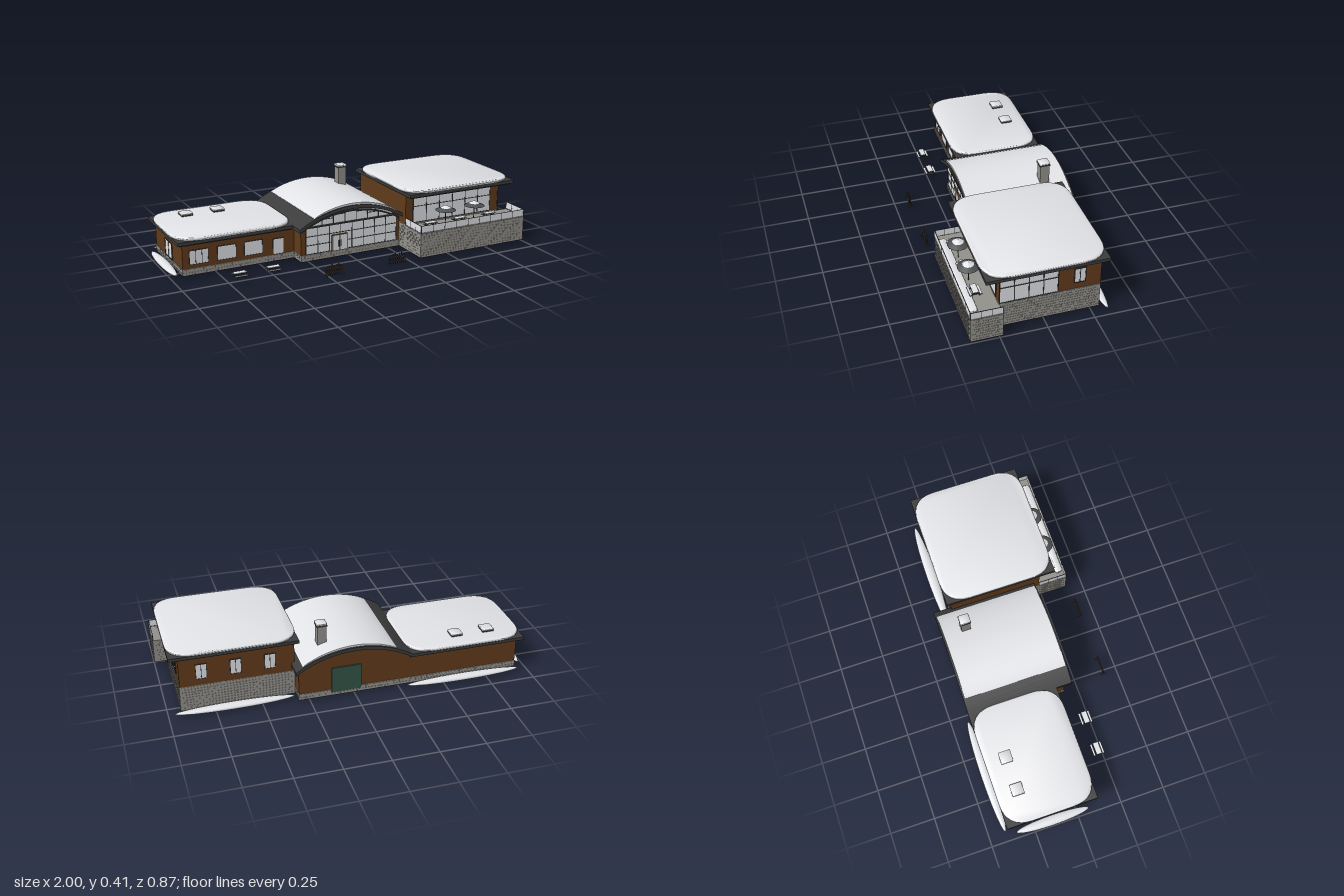
import * as THREE from 'three';
import { mergeGeometries, toCreasedNormals } from 'three/addons/utils/BufferGeometryUtils.js';

const mat = (name, color, side = THREE.FrontSide) => {
  const m = new THREE.MeshStandardMaterial({ color, side });
  m.name = name;
  return m;
};

export function createModel() {
  const root = new THREE.Group();
  root.name = 'skiLodge';
  const M = {
    wood: mat('brown timber', 0x623b1b),
    stone: mat('grey stone', 0x93918b),
    dark: mat('dark roof and frames', 0x3c3c3d),
    snow: mat('snow', 0xf0f1f5),
    glass: mat('pale glass', 0xe5e8ec),
    green: mat('green door', 0x335347),
    canopy: mat('umbrella grey', 0x4e4f51, THREE.DoubleSide),
  };

  const add = (name, geo, m, parent = root) => {
    const mesh = new THREE.Mesh(geo, m);
    mesh.name = name;
    parent.add(mesh);
    return mesh;
  };
  // Box given by its two extreme corners
  const boxGeo = (x0, x1, y0, y1, z0, z1) =>
    new THREE.BoxGeometry(x1 - x0, y1 - y0, z1 - z0).translate((x0 + x1) / 2, (y0 + y1) / 2, (z0 + z1) / 2);
  const box = (name, m, x0, x1, y0, y1, z0, z1, parent = root) =>
    add(name, boxGeo(x0, x1, y0, y1, z0, z1), m, parent);
  const group = (name, x, y, z, ry = 0) => {
    const g = new THREE.Group();
    g.name = name;
    g.position.set(x, y, z);
    g.rotation.y = ry;
    root.add(g);
    return g;
  };
  const FRONT = 0, BACK = Math.PI, LEFT = Math.PI / 2, RIGHT = -Math.PI / 2;

  // Glazed opening with a frame and a grid of bars; y is the sill height
  const glazing = (name, x, y, z, ry, w, h, cols = 1, rows = [], bar = 0.004) => {
    const g = group(name, x, y, z, ry);
    box('glass', M.glass, -w / 2, w / 2, 0, h, 0, 0.003, g);
    for (let i = 0; i <= cols; i++) {
      const cx = -w / 2 + (w * i) / cols;
      box('upright', M.dark, cx - bar / 2, cx + bar / 2, 0, h, 0, 0.005, g);
    }
    for (const r of [0, ...rows, h])
      box('rail', M.dark, -w / 2 - bar / 2, w / 2 + bar / 2, r - bar / 2, r + bar / 2, 0, 0.005, g);
  };

  // Rounded snow pillow lying on a flat surface
  const pillow = (name, x0, x1, z0, z1, y0, h, r) => {
    const b = h * 0.5, X0 = x0 + b, X1 = x1 - b, Z0 = z0 + b, Z1 = z1 - b;
    const s = new THREE.Shape();
    s.moveTo(X0 + r, -Z1);
    s.lineTo(X1 - r, -Z1).quadraticCurveTo(X1, -Z1, X1, -Z1 + r);
    s.lineTo(X1, -Z0 - r).quadraticCurveTo(X1, -Z0, X1 - r, -Z0);
    s.lineTo(X0 + r, -Z0).quadraticCurveTo(X0, -Z0, X0, -Z0 - r);
    s.lineTo(X0, -Z1 + r).quadraticCurveTo(X0, -Z1, X0 + r, -Z1);
    const g = new THREE.ExtrudeGeometry(s, { depth: h - 2 * b + 0.001, bevelThickness: b, bevelSize: b, bevelSegments: 4, curveSegments: 8 });
    g.rotateX(-Math.PI / 2);
    g.translate(0, y0 + b, 0);
    add(name, toCreasedNormals(g, 1), M.snow);
  };

  // Masonry block with staggered proud stones and a dark underside
  const stonework = (name, x0, x1, y0, y1, z0, z1, courses) => {
    const e = 0.0015, pitch = 0.032, w = 0.026, step = (y1 - y0) / courses;
    const parts = [boxGeo(x0, x1, y0, y1, z0, z1)];
    for (let i = 0; i < courses; i++) {
      const lo = y0 + i * step + 0.003, hi = y0 + (i + 1) * step - 0.003, shift = 0.004 + (i % 2) * pitch * 0.5;
      for (let x = x0 + shift; x + w < x1; x += pitch) parts.push(boxGeo(x, x + w, lo, hi, z0 - e, z1 + e));
      for (let z = z0 + shift; z + w < z1; z += pitch) parts.push(boxGeo(x0 - e, x1 + e, lo, hi, z, z + w));
    }
    add(name, mergeGeometries(parts), M.stone);
    box('floorSlab', M.dark, x0, x1, y0 - 0.002, y0 + 0.001, z0, z1);
  };

  // Flat roof: lower fascia, wider slab and snow
  const flatRoof = (x0, x1, z0, z1, y) => {
    box('roofFascia', M.dark, x0 + 0.012, x1 - 0.012, y, y + 0.014, z0 + 0.012, z1 - 0.012);
    box('roofSlab', M.dark, x0, x1, y + 0.008, y + 0.026, z0, z1);
    pillow('roofSnow', x0 - 0.003, x1 + 0.002, z0 - 0.002, z1 + 0.003, y + 0.024, 0.018, 0.135);
  };

  // Low wing
  stonework('lowWingFooting', -0.94, -0.3, 0.015, 0.05, -0.375, 0.08, 2);
  box('lowWingWalls', M.wood, -0.938, -0.3, 0.05, 0.19, -0.373, 0.078);
  flatRoof(-0.97, -0.305, -0.4, 0.11, 0.184);
  for (const x of [-0.848, -0.692, -0.54])
    glazing('lowWingWindow', x, 0.072, 0.078, FRONT, 0.104, 0.077, x < -0.8 ? 3 : 1, [], 0.0025);
  glazing('lowWingDoor', -0.395, 0.052, 0.078, FRONT, 0.062, 0.088, 1, [], 0.0025);
  glazing('sideDoor', -0.938, 0.052, -0.14, RIGHT, 0.11, 0.09, 2);
  for (const x of [-0.79, -0.605]) {
    box('skylight', M.dark, x - 0.032, x + 0.032, 0.215, 0.235, -0.317, -0.253);
    pillow('skylightSnow', x - 0.034, x + 0.034, -0.319, -0.251, 0.233, 0.009, 0.004);
  }

  // Arched hall: every curved part follows the same arc
  const R = 0.586, arcY = (x) => 0.304 - R + Math.sqrt(R * R - x * x);
  const arcBand = (name, m, x0, x1, top, bottom, z0, z1) => {
    const pts = [], n = 28;
    for (let i = 0; i <= n; i++) {
      const x = x0 + ((x1 - x0) * i) / n;
      pts.push(new THREE.Vector2(x, arcY(x) + top(x)));
    }
    for (let i = n; i >= 0; i--) {
      const x = x0 + ((x1 - x0) * i) / n;
      pts.push(new THREE.Vector2(x, bottom(x)));
    }
    const g = new THREE.ExtrudeGeometry(new THREE.Shape(pts), { depth: z1 - z0, bevelEnabled: false });
    g.translate(0, 0, z0);
    add(name, toCreasedNormals(g, 0.5), m);
  };
  stonework('hallFooting', -0.3, 0.31, 0.015, 0.05, -0.375, 0.17, 2);
  arcBand('hallWalls', M.wood, -0.3, 0.31, () => -0.012, () => 0.05, -0.373, 0.165);
  arcBand('archedRoof', M.dark, -0.32, 0.33, () => 0, (x) => arcY(x) - 0.02, -0.4, 0.2);
  arcBand('archedRoofSnow', M.snow, -0.23, 0.29,
    (x) => 0.01 * Math.sqrt(Math.max(0, 1 - ((x - 0.03) / 0.26) ** 2)) + 0.001, (x) => arcY(x) - 0.002, -0.39, 0.193);
  arcBand('archBeam', M.dark, -0.295, 0.3, () => -0.032, (x) => arcY(x) - 0.04, 0.165, 0.178);

  // Hall glazing, with a glass gable and stepped frames beneath the arch
  glazing('hallGlazing', 0.01, 0.052, 0.165, FRONT, 0.56, 0.15, 8, [0.05, 0.1]);
  box('hallTransom', M.dark, -0.29, 0.305, 0.2, 0.208, 0.16, 0.175);
  arcBand('gableGlass', M.glass, -0.26, 0.26, () => -0.02, () => 0.204, 0.164, 0.167);
  for (let i = 0; i < 7; i++) {
    const x = -0.21 + i * 0.07;
    const top = Math.min(arcY(x - 0.035), arcY(x + 0.035)) - 0.038;
    if (top > 0.216) glazing('archPane', x, 0.207, 0.165, FRONT, 0.07, top - 0.207, 1, [], 0.0035);
  }
  const door = group('entranceDoors', -0.07, 0.05, 0.166);
  box('doorFrame', M.wood, -0.048, 0.048, 0, 0.093, 0, 0.009, door);
  for (const s of [-1, 1]) {
    box('doorGlass', M.glass, s * 0.023 - 0.021, s * 0.023 + 0.021, 0.003, 0.089, 0.008, 0.012, door);
    box('doorHandle', M.dark, s * 0.007 - 0.002, s * 0.007 + 0.002, 0.025, 0.06, 0.011, 0.016, door);
  }
  box('backDoor', M.green, -0.035, 0.13, 0.035, 0.185, -0.38, -0.372);

  // Chimney
  box('chimney', M.stone, 0.132, 0.182, 0.2, 0.392, -0.288, -0.236);
  box('chimneyCap', M.dark, 0.128, 0.186, 0.392, 0.4, -0.291, -0.231);
  pillow('chimneySnow', 0.128, 0.186, -0.291, -0.231, 0.399, 0.01, 0.004);

  // Tall wing
  stonework('tallWingBase', 0.312, 0.93, 0.015, 0.158, -0.298, 0.235, 9);
  box('tallWingWalls', M.wood, 0.312, 0.928, 0.158, 0.33, -0.298, 0.232);
  flatRoof(0.29, 0.978, -0.322, 0.315, 0.325);
  glazing('tallWingFrontGlazing', 0.617, 0.162, 0.232, FRONT, 0.515, 0.155, 6, [0.093]);
  glazing('tallWingSideGlazing', 0.928, 0.162, 0.081, LEFT, 0.302, 0.155, 4, [0.093], 0.005);
  glazing('tallWingSideWindow', 0.928, 0.197, -0.185, LEFT, 0.058, 0.086, 2);
  for (const x of [0.81, 0.628, 0.445]) glazing('tallWingBackWindow', x, 0.197, -0.298, BACK, 0.057, 0.086, 2, [], 0.003);

  // Terrace with glass balustrade
  stonework('terraceBase', 0.312, 0.998, 0.015, 0.153, 0.232, 0.4, 9);
  pillow('terraceSnow', 0.35, 0.955, 0.345, 0.393, 0.15, 0.013, 0.02);
  const balustrade = (x, z, ry, w, n) => {
    const g = group('balustrade', x, 0.153, z, ry);
    box('glassPanel', M.glass, -w / 2, w / 2, 0.003, 0.041, -0.0015, 0.0015, g);
    box('handrail', M.dark, -w / 2, w / 2, 0.041, 0.043, -0.0015, 0.0015, g);
    for (let i = 0; i <= n; i++) {
      const px = -w / 2 + (w * i) / n;
      box('post', M.dark, px - 0.0015, px + 0.0015, 0, 0.042, -0.002, 0.002, g);
    }
  };
  balustrade(0.655, 0.398, 0, 0.684, 9);
  balustrade(0.996, 0.317, LEFT, 0.165, 3);
  balustrade(0.314, 0.317, LEFT, 0.165, 3);

  // Umbrellas
  for (const x of [0.515, 0.705]) {
    const g = group('umbrella', x, 0.153, 0.325);
    add('pole', new THREE.CylinderGeometry(0.0025, 0.0025, 0.1, 8), M.dark, g).position.y = 0.05;
    add('canopy', new THREE.ConeGeometry(0.058, 0.026, 16, 1, true), M.canopy, g).position.y = 0.1;
    add('canopySnow', new THREE.ConeGeometry(0.03, 0.014, 16), M.snow, g).position.y = 0.109;
  }

  // Snow-covered picnic tables
  const picnicTable = (x, y, z) => {
    const g = group('picnicTable', x, y, z);
    box('tableTop', M.dark, -0.035, 0.035, 0.025, 0.029, -0.016, 0.016, g);
    box('tableSnow', M.snow, -0.034, 0.034, 0.029, 0.031, -0.015, 0.015, g);
    for (const s of [-1, 1]) {
      box('seat', M.dark, -0.035, 0.035, 0.014, 0.017, s * 0.026 - 0.006, s * 0.026 + 0.006, g);
      box('seatSnow', M.snow, -0.034, 0.034, 0.017, 0.0185, s * 0.026 - 0.005, s * 0.026 + 0.005, g);
      box('crossBar', M.dark, s * 0.024 - 0.002, s * 0.024 + 0.002, 0.011, 0.014, -0.03, 0.03, g);
      for (const t of [-1, 1]) {
        const leg = box('leg', M.dark, -0.002, 0.002, -0.014, 0.014, -0.002, 0.002, g);
        leg.position.set(s * 0.024, 0.0135, t * 0.015);
        leg.rotation.x = -t * 0.45;
      }
    }
  };
  for (const x of [-0.68, -0.49]) picnicTable(x, 0.015, 0.228);
  for (const x of [0.42, 0.61, 0.81]) picnicTable(x, 0.153, 0.325);

  // Ski racks
  for (const x of [-0.225, 0.155]) {
    const g = group('skiRack', x, 0.015, 0.418);
    box('topRail', M.wood, -0.05, 0.05, 0.038, 0.043, -0.002, 0.002, g);
    box('lowRail', M.wood, -0.05, 0.05, 0.014, 0.018, -0.002, 0.002, g);
    for (const s of [-1, 1]) {
      box('foot', M.dark, s * 0.048 - 0.003, s * 0.048 + 0.003, 0, 0.004, -0.015, 0.015, g);
      box('stand', M.wood, s * 0.048 - 0.002, s * 0.048 + 0.002, 0, 0.043, -0.002, 0.002, g);
    }
    for (let i = 0; i < 7; i++) {
      const ski = box('ski', M.dark, -0.003, 0.003, 0, 0.052 + (i % 3) * 0.005, 0.002, 0.005, g);
      ski.position.x = -0.039 + i * 0.013;
      ski.rotation.x = -0.08;
    }
  }

  // Snow banks along the walls
  const bank = (x, z, w, d) => {
    const s = add('snowBank', new THREE.SphereGeometry(1, 24, 12), M.snow);
    s.scale.set(w / 2, 0.016, d / 2);
    s.position.set(x, 0.02, z);
  };
  bank(-0.62, -0.406, 0.66, 0.058);
  bank(0.645, -0.33, 0.65, 0.06);
  bank(-0.972, -0.14, 0.056, 0.42);

  return root;
}
